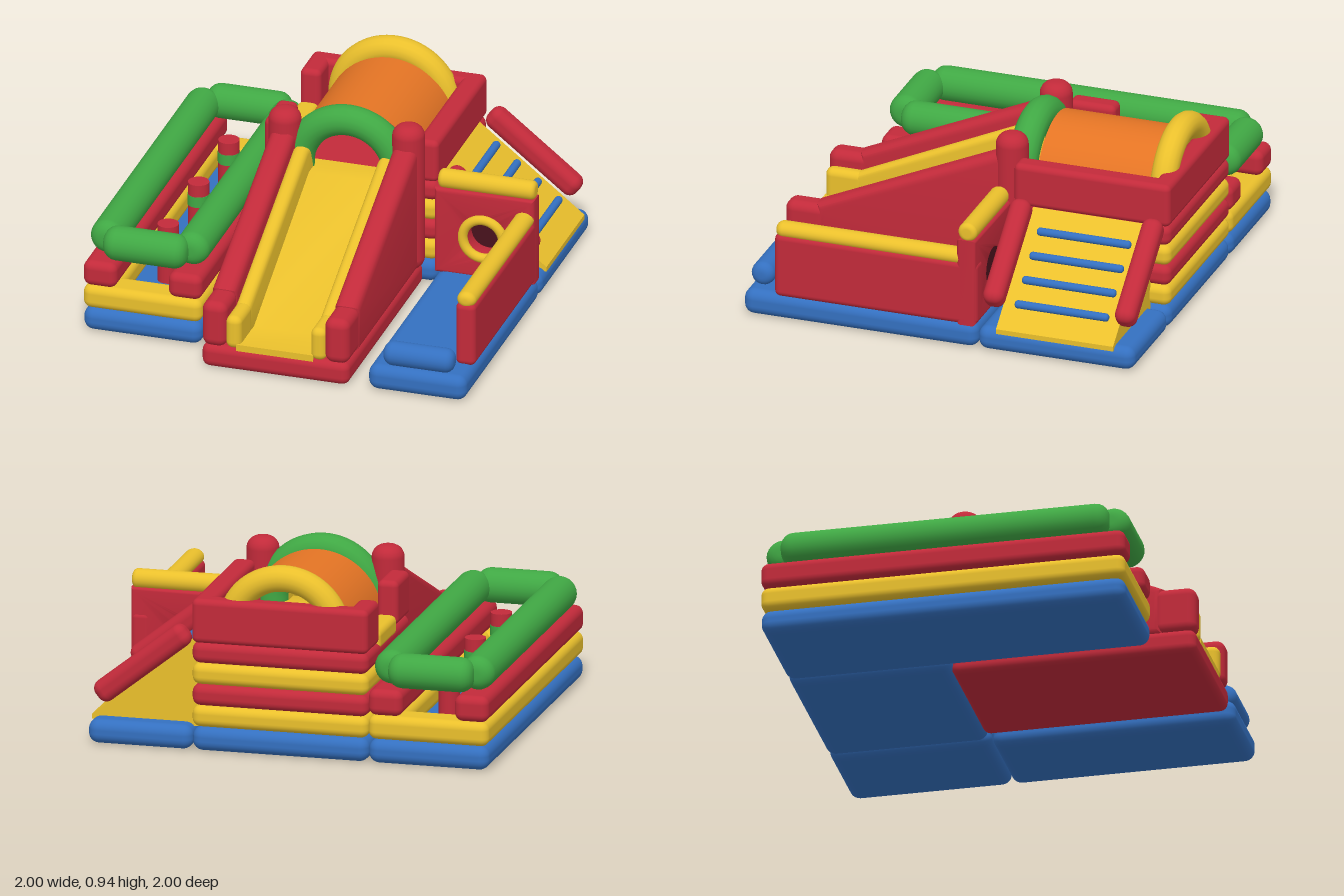
import * as THREE from 'three';
import { toCreasedNormals } from 'three/addons/utils/BufferGeometryUtils.js';
import { RoundedBoxGeometry } from 'three/addons/geometries/RoundedBoxGeometry.js';

const mat = (color) => new THREE.MeshStandardMaterial({ color });
const RED = mat(0xc22a3a), YELLOW = mat(0xeac02c), BLUE = mat(0x3470c0);
const GREEN = mat(0x40a844), ORANGE = mat(0xe47424), DARK = mat(0x48121c);
ORANGE.side = THREE.DoubleSide;

function add(parent, name, geometry, material, x = 0, y = 0, z = 0) {
  const mesh = new THREE.Mesh(geometry, material);
  mesh.name = name;
  mesh.position.set(x, y, z);
  parent.add(mesh);
  return mesh;
}

// Soft-edged block given by its limits on each axis
function block(parent, name, material, [x0, x1], [y0, y1], [z0, z1], r = 0.04) {
  const s = [x1 - x0, y1 - y0, z1 - z0];
  const g = new RoundedBoxGeometry(...s, 4, Math.min(r, Math.min(...s) * 0.49));
  return add(parent, name, g, material, (x0 + x1) / 2, (y0 + y1) / 2, (z0 + z1) / 2);
}

// Inflated roll with rounded ends, lying along the given axis
function roll(parent, name, material, axis, length, r, x, y, z, edge = r * 0.75) {
  const pts = [];
  for (const end of [-1, 1]) {
    if (end < 0) pts.push(new THREE.Vector2(0, -length / 2));
    for (let i = 0; i <= 5; i++) {
      const a = ((end < 0 ? i : 5 - i) / 5) * Math.PI / 2;
      pts.push(new THREE.Vector2(r - edge + edge * Math.sin(a), end * (length / 2 - edge + edge * Math.cos(a))));
    }
    if (end > 0) pts.push(new THREE.Vector2(0, length / 2));
  }
  const g = new THREE.LatheGeometry(pts, 24);
  if (axis === 'x') g.rotateZ(Math.PI / 2);
  if (axis === 'z') g.rotateX(Math.PI / 2);
  return add(parent, name, g, material, x, y, z);
}

function polygon(points) {
  return new THREE.Shape(points.map((p) => new THREE.Vector2(...p)));
}

// Side profile in (z, y) carried across x0..x1 with soft edges
function profile(parent, name, material, points, x0, x1, bevel) {
  const g = new THREE.ExtrudeGeometry(polygon(points), {
    depth: x1 - x0 - 2 * bevel, bevelEnabled: bevel > 0,
    bevelSize: bevel, bevelThickness: bevel, bevelOffset: -bevel, bevelSegments: 5,
  });
  g.rotateY(-Math.PI / 2);
  return add(parent, name, toCreasedNormals(g, 0.6), material, x1 - bevel, 0, 0);
}

// Half ring standing on two short legs
function arch(parent, name, material, x, y, z, R, t, foot) {
  const group = new THREE.Group();
  group.name = name;
  parent.add(group);
  add(group, name + 'Bow', new THREE.TorusGeometry(R, t, 16, 40, Math.PI), material, x, y, z);
  for (const s of [-1, 1]) {
    add(group, name + 'Leg', new THREE.CylinderGeometry(t, t, y - foot, 16), material, x + s * R, (y + foot) / 2, z);
  }
}

function section(root, name) {
  const g = new THREE.Group();
  g.name = name;
  root.add(g);
  return g;
}

function buildPit(g) {
  block(g, 'pitBase', BLUE, [-1, -0.4], [0, 0.12], [-1, 0.8], 0.05);
  for (const s of [-1, 1]) {
    const x = -0.7 + s * 0.215, z = -0.1 + s * 0.815;
    const across = [x - 0.085, x + 0.085];
    block(g, 'lowerSideWall', YELLOW, across, [0.12, 0.24], [-1, 0.8]);
    block(g, 'lowerEndWall', YELLOW, [-1, -0.4], [0.12, 0.24], [z - 0.085, z + 0.085]);
    block(g, 'upperSideWall', RED, across, [0.24, 0.37], [-1, 0.8]);
    roll(g, 'sideBolster', GREEN, 'z', 1.62, 0.085, x, 0.455, -0.1);
    roll(g, 'endBolster', GREEN, 'x', 0.42, 0.085, -0.7, 0.455, z);
  }
  // Posts standing in the pit
  for (const z of [-0.59, -0.11, 0.37]) {
    add(g, 'post', new THREE.CylinderGeometry(0.052, 0.052, 0.3, 24), RED, -0.7, 0.27, z);
    add(g, 'postBand', new THREE.CylinderGeometry(0.054, 0.054, 0.055, 24), GREEN, -0.7, 0.33, z);
  }
}

function buildTower(g) {
  block(g, 'towerBase', BLUE, [-0.4, 0.48], [0, 0.12], [-1, -0.2], 0.05);
  for (let i = 0; i < 4; i++) {
    const y = 0.12 + i * 0.106;
    block(g, 'towerLayer', i % 2 ? RED : YELLOW, [-0.4, 0.48], [y, y + 0.106], [-1, -0.2]);
  }
  // Parapet with an entry gap on one side
  const h = [0.54, 0.76];
  block(g, 'backParapet', RED, [-0.4, 0.48], h, [-1, -0.9], 0.03);
  block(g, 'leftParapet', RED, [0.37, 0.48], h, [-1, -0.2], 0.03);
  block(g, 'rightParapet', RED, [-0.4, -0.295], h, [-1, -0.765], 0.03);
  block(g, 'rightParapet', RED, [-0.4, -0.295], h, [-0.44, -0.2], 0.03);
  block(g, 'entryStep', YELLOW, [-0.4, -0.295], [0.5, 0.6], [-0.765, -0.44], 0.03);
  // Tunnel roof between two arches
  const roof = new THREE.CylinderGeometry(0.32, 0.32, 0.63, 40, 1, true, Math.PI / 2, Math.PI);
  roof.rotateX(Math.PI / 2);
  add(g, 'tunnelRoof', roof, ORANGE, 0.04, 0.53, -0.585);
  arch(g, 'backArch', YELLOW, 0.04, 0.6, -0.905, 0.27, 0.065, 0.53);
  arch(g, 'frontArch', GREEN, 0.04, 0.58, -0.175, 0.25, 0.075, 0.5);
  for (const x of [-0.275, 0.35]) roll(g, 'pillar', RED, 'y', 0.765, 0.08, x, 0.4825, -0.15);
}

function buildSlide(g) {
  block(g, 'slideBase', RED, [-0.335, 0.41], [0, 0.12], [-0.21, 1]);
  const wall = [[-0.2, 0.1], [0.84, 0.1], [0.84, 0.35], [-0.08, 0.76], [-0.2, 0.76]];
  const rail = [[-0.2, 0.1], [0.84, 0.1], [0.84, 0.27], [-0.08, 0.69], [-0.2, 0.69]];
  const bed = [[-0.25, 0.1], [0.99, 0.1], [0.99, 0.14], [0.77, 0.14], [-0.1, 0.56], [-0.25, 0.56]];
  profile(g, 'slideBed', YELLOW, bed, -0.16, 0.23, 0);
  for (const [x0, x1] of [[-0.335, -0.21], [0.285, 0.41]]) {
    profile(g, 'sideWall', RED, wall, x0, x1, 0.045);
    block(g, 'sideWallEnd', RED, [x0, x1], [0.11, 0.345], [0.79, 1], 0.045);
  }
  for (const [x0, x1] of [[-0.217, -0.138], [0.213, 0.292]]) {
    profile(g, 'innerRail', YELLOW, rail, x0, x1, 0.035);
    block(g, 'innerRailEnd', YELLOW, [x0, x1], [0.11, 0.28], [0.79, 0.99], 0.035);
  }
}

function buildClimb(g) {
  block(g, 'climbBase', BLUE, [0.48, 1], [0, 0.12], [-1, -0.2], 0.05);
  // Wedge ramp falling away from the tower
  const wedge = new THREE.ExtrudeGeometry(polygon([[0.47, 0.1], [1, 0.1], [1, 0.125], [0.47, 0.545]]),
    { depth: 0.6, bevelEnabled: false });
  add(g, 'ramp', wedge, YELLOW, 0, 0, -0.9);
  for (let i = 0; i < 4; i++) {
    roll(g, 'rung', BLUE, 'z', 0.48, 0.02, 0.578 + i * 0.105, 0.472 - i * 0.083, -0.6);
  }
  for (const z of [-0.94, -0.265]) {
    const rail = add(g, 'climbRail', new RoundedBoxGeometry(0.57, 0.115, 0.105, 5, 0.045), RED, 0.735, 0.41, z);
    rail.rotation.z = -0.67;
  }
}

function buildCourt(g) {
  block(g, 'courtBase', BLUE, [0.505, 1], [0, 0.13], [-0.2, 1], 0.05);
  block(g, 'outerWall', RED, [0.9, 1], [0.12, 0.45], [-0.2, 0.84], 0.03);
  roll(g, 'outerWallCap', YELLOW, 'z', 1.03, 0.048, 0.95, 0.465, 0.322).scale.y = 0.85;
  // Crawl-through wall
  const face = polygon([[0.495, 0.12], [1, 0.12], [1, 0.57], [0.495, 0.57]]);
  const hole = new THREE.Path();
  hole.absarc(0.745, 0.335, 0.085, 0, Math.PI * 2, true);
  face.holes.push(hole);
  const wall = new THREE.ExtrudeGeometry(face, {
    depth: 0.06, bevelSize: 0.02, bevelThickness: 0.02, bevelOffset: -0.02, bevelSegments: 4, curveSegments: 24,
  });
  add(g, 'crawlWall', toCreasedNormals(wall, 0.6), RED, 0, 0, -0.175);
  const back = add(g, 'crawlHoleBack', new THREE.CylinderGeometry(0.11, 0.11, 0.01, 32), DARK, 0.745, 0.335, -0.188);
  back.rotation.x = Math.PI / 2;
  add(g, 'crawlRing', new THREE.TorusGeometry(0.102, 0.024, 14, 40), YELLOW, 0.745, 0.335, -0.09);
  roll(g, 'crawlWallCap', YELLOW, 'x', 0.49, 0.048, 0.753, 0.607, -0.148, 0.025);
  // Ring on the outer wall and bolster across the entrance
  const ring = add(g, 'wallRing', new THREE.TorusGeometry(0.098, 0.026, 14, 40), YELLOW, 0.892, 0.28, 0.24);
  ring.rotation.y = Math.PI / 2;
  roll(g, 'entranceBolster', BLUE, 'x', 0.355, 0.06, 0.752, 0.185, 0.93);
}

export function createModel() {
  const root = new THREE.Group();
  root.name = 'inflatablePlayground';
  buildPit(section(root, 'pit'));
  buildTower(section(root, 'tower'));
  buildSlide(section(root, 'slide'));
  buildClimb(section(root, 'climb'));
  buildCourt(section(root, 'court'));
  return root;
}
